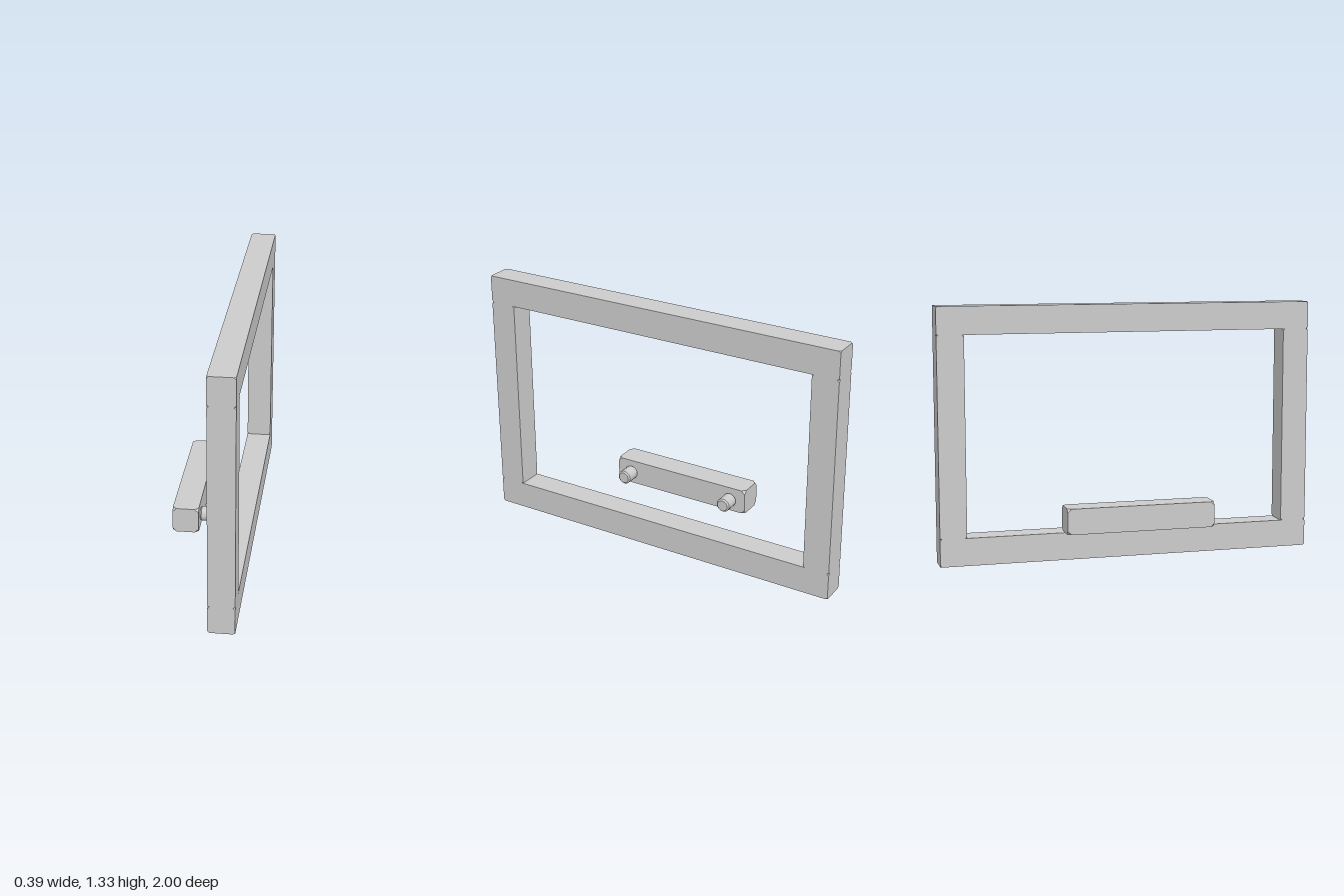
import * as THREE from 'three';
import { ConvexGeometry } from 'three/addons/geometries/ConvexGeometry.js';

const material = new THREE.MeshStandardMaterial({ color: 0xcccccc, flatShading: true });

// Box with its eight corners cut off: each corner becomes three points
function cutCornerBox(name, size, centre, cut) {
  const points = [];
  for (const sx of [-1, 1]) for (const sy of [-1, 1]) for (const sz of [-1, 1]) {
    const signs = [sx, sy, sz];
    for (let axis = 0; axis < 3; axis++) {
      const p = signs.map((s, i) => s * (size[i] / 2 - (i === axis ? cut : 0)));
      points.push(new THREE.Vector3(...p));
    }
  }
  const mesh = new THREE.Mesh(new ConvexGeometry(points), material);
  mesh.name = name;
  mesh.position.set(...centre);
  return mesh;
}

// Short round peg along x, bevelled at both ends
function peg(name, z) {
  const r = 0.037, b = 0.008, length = 0.087;
  const profile = [[0, 0], [r - b, 0], [r, b], [r, length - b], [r - b, length], [0, length]]
    .map(([x, y]) => new THREE.Vector2(x, y));
  const mesh = new THREE.Mesh(new THREE.LatheGeometry(profile, 16), material);
  mesh.name = name;
  mesh.rotation.z = -Math.PI / 2;
  mesh.position.set(-0.063, 0.253, z);
  return mesh;
}

export function createModel() {
  const model = new THREE.Group();
  model.name = 'frameWithHandle';

  // Upright rectangular frame
  const frame = new THREE.Group();
  frame.name = 'frame';
  const x = 0.127, depth = 0.133, height = 1.333, bar = 0.145, post = 0.14, cut = 0.01;
  frame.add(cutCornerBox('bottomRail', [depth, bar, 2], [x, bar / 2, 0], cut));
  frame.add(cutCornerBox('topRail', [depth, bar, 2], [x, height - bar / 2, 0], cut));
  for (const [name, s] of [['frontPost', 1], ['backPost', -1]]) {
    frame.add(cutCornerBox(name, [depth, height - 2 * bar, post], [x, height / 2, s * (1 - post / 2)], cut));
  }

  // Separate handle bar with two pegs facing the frame
  const handle = new THREE.Group();
  handle.name = 'handle';
  handle.add(cutCornerBox('handleBar', [0.133, 0.133, 0.78], [-0.129, 0.253, 0], 0.02));
  handle.add(peg('frontPeg', 0.305), peg('backPeg', -0.305));

  model.add(frame, handle);
  return model;
}
